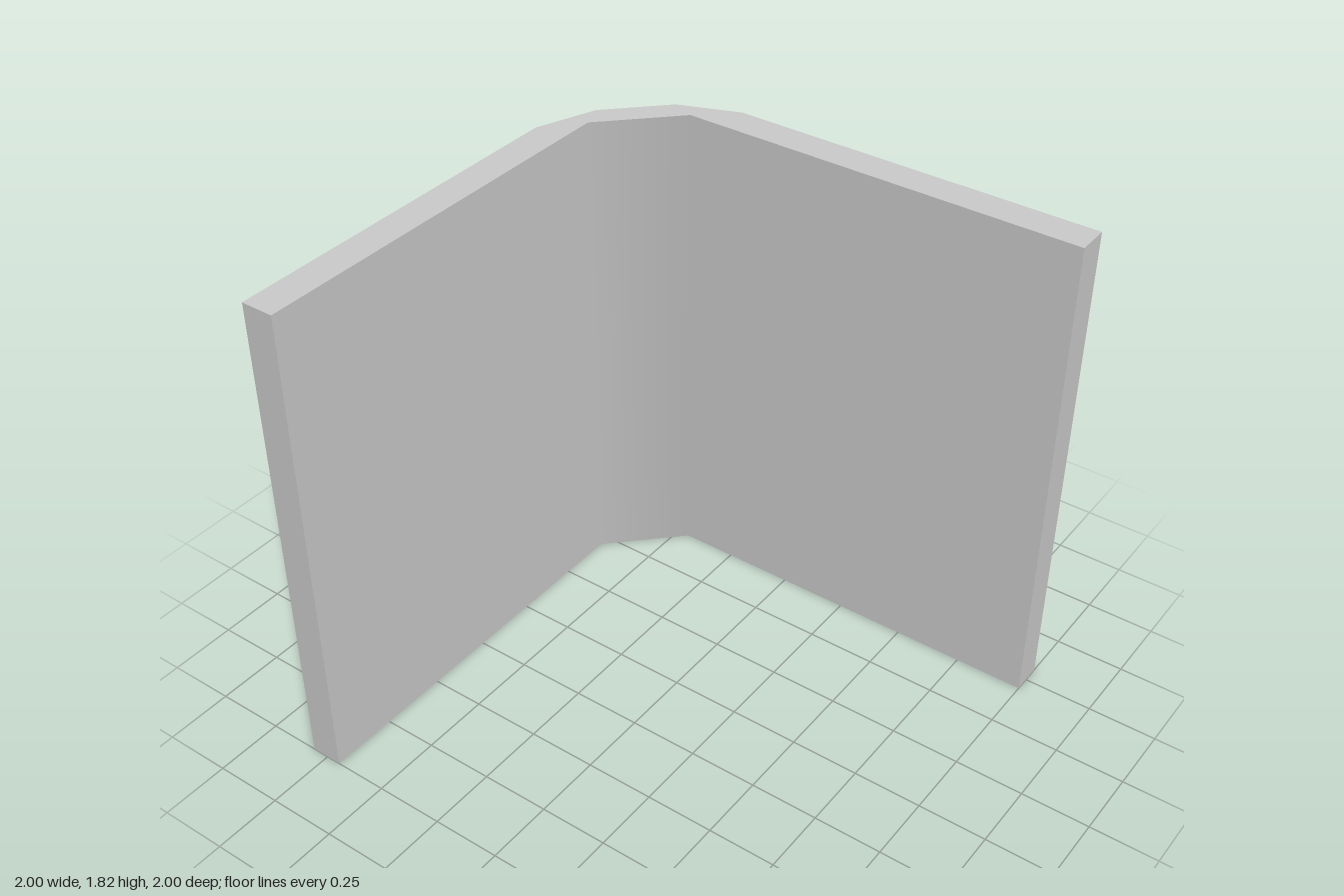
import * as THREE from 'three';

const HEIGHT = 1.815;

export function createModel() {
  const model = new THREE.Group();
  model.name = 'studdedCornerPlate';
  const smooth = new THREE.MeshStandardMaterial({ color: 0xcccccc });
  const flat = new THREE.MeshStandardMaterial({ color: 0xcccccc, flatShading: true });

  const add = (parent, name, geometry, material, x = 0, y = 0, z = 0) => {
    const mesh = new THREE.Mesh(geometry, material);
    mesh.name = name;
    mesh.position.set(x, y, z);
    parent.add(mesh);
    return mesh;
  };

  // Upright skin along a plan path of [x, z, normal angle in degrees from +x towards -z]
  const skin = (path) => {
    const position = [], normal = [], index = [];
    path.forEach(([x, z, degrees], i) => {
      const a = THREE.MathUtils.degToRad(degrees);
      for (const y of [0, HEIGHT]) {
        position.push(x, y, z);
        normal.push(Math.cos(a), 0, -Math.sin(a));
      }
      if (i > 0) {
        const k = 2 * i;
        index.push(k - 2, k, k - 1, k, k + 1, k - 1);
      }
    });
    const g = new THREE.BufferGeometry();
    g.setAttribute('position', new THREE.Float32BufferAttribute(position, 3));
    g.setAttribute('normal', new THREE.Float32BufferAttribute(normal, 3));
    g.setIndex(index);
    return g;
  };

  // Bent plate: flat walls with a smooth bend between them
  const outer = [
    [0.812, 1, 0], [0.812, -0.322, 0], [0.728, -0.538, 33],
    [0.538, -0.728, 57], [0.322, -0.812, 90], [-1, -0.812, 90],
  ];
  const inner = [[-1, -0.695, 270], [0.452, -0.695, 270], [0.695, -0.452, 180], [0.695, 1, 180]];
  const plate = new THREE.Group();
  plate.name = 'bentPlate';
  model.add(plate);
  add(plate, 'outerSkin', skin(outer), smooth);
  add(plate, 'innerSkin', skin(inner), smooth);
  add(plate, 'backWallEnd', skin([[-1, -0.812, 180], [-1, -0.695, 180]]), smooth);
  add(plate, 'sideWallEnd', skin([[0.695, 1, 270], [0.812, 1, 270]]), smooth);

  // Top and bottom edges
  const outline = new THREE.Shape([...outer, ...inner].map(([x, z]) => new THREE.Vector2(x, -z)));
  add(plate, 'topEdge', new THREE.ShapeGeometry(outline).rotateX(-Math.PI / 2), flat, 0, HEIGHT, 0);
  const mirrored = new THREE.Shape([...outer, ...inner].map(([x, z]) => new THREE.Vector2(x, z)));
  add(plate, 'bottomEdge', new THREE.ShapeGeometry(mirrored).rotateX(Math.PI / 2), flat);

  // Square stud with a blunt pyramid tip, pointing along +z
  const R = Math.SQRT2;
  const studGeometry = new THREE.LatheGeometry([
    new THREE.Vector2(0.15 * R, -0.005), new THREE.Vector2(0.15 * R, 0.12),
    new THREE.Vector2(0.05 * R, 0.188), new THREE.Vector2(0, 0.188),
  ], 4, Math.PI / 4).rotateX(Math.PI / 2);
  const horizontal = new THREE.BoxGeometry(0.345, 0.085, 0.04);

  const decoration = (name, x, z, turn) => {
    const group = new THREE.Group();
    group.name = name;
    group.position.set(x, 0, z);
    group.rotation.y = turn;
    model.add(group);
    return group;
  };

  // Five studs joined by flat bars on each wall
  const walls = [['sideWallStuds', 0.812, 0.407, Math.PI / 2], ['backWallStuds', -0.392, -0.812, Math.PI]];
  for (const [name, x, z, turn] of walls) {
    const group = decoration(name, x, z, turn);
    for (const y of [0.243, 1.565]) {
      for (const side of [-1, 1]) add(group, 'stud', studGeometry, flat, side * 0.333, y, 0);
    }
    add(group, 'middleStud', studGeometry, flat, 0, 0.907, 0);
    for (const y of [0.245, 1.567]) add(group, 'horizontalBar', horizontal, flat, 0, y, 0.02);
    for (const [low, high] of [[0.298, 0.745], [1.06, 1.522]]) {
      add(group, 'verticalBar', new THREE.BoxGeometry(0.08, high - low, 0.04), flat, 0, (low + high) / 2, 0.02);
    }
  }

  // Column of three studs on the bend
  const corner = decoration('bendStuds', 0.633, -0.633, Math.PI * 0.75);
  for (const y of [0.265, 0.912, 1.565]) add(corner, 'stud', studGeometry, flat, 0, y, 0);

  return model;
}
